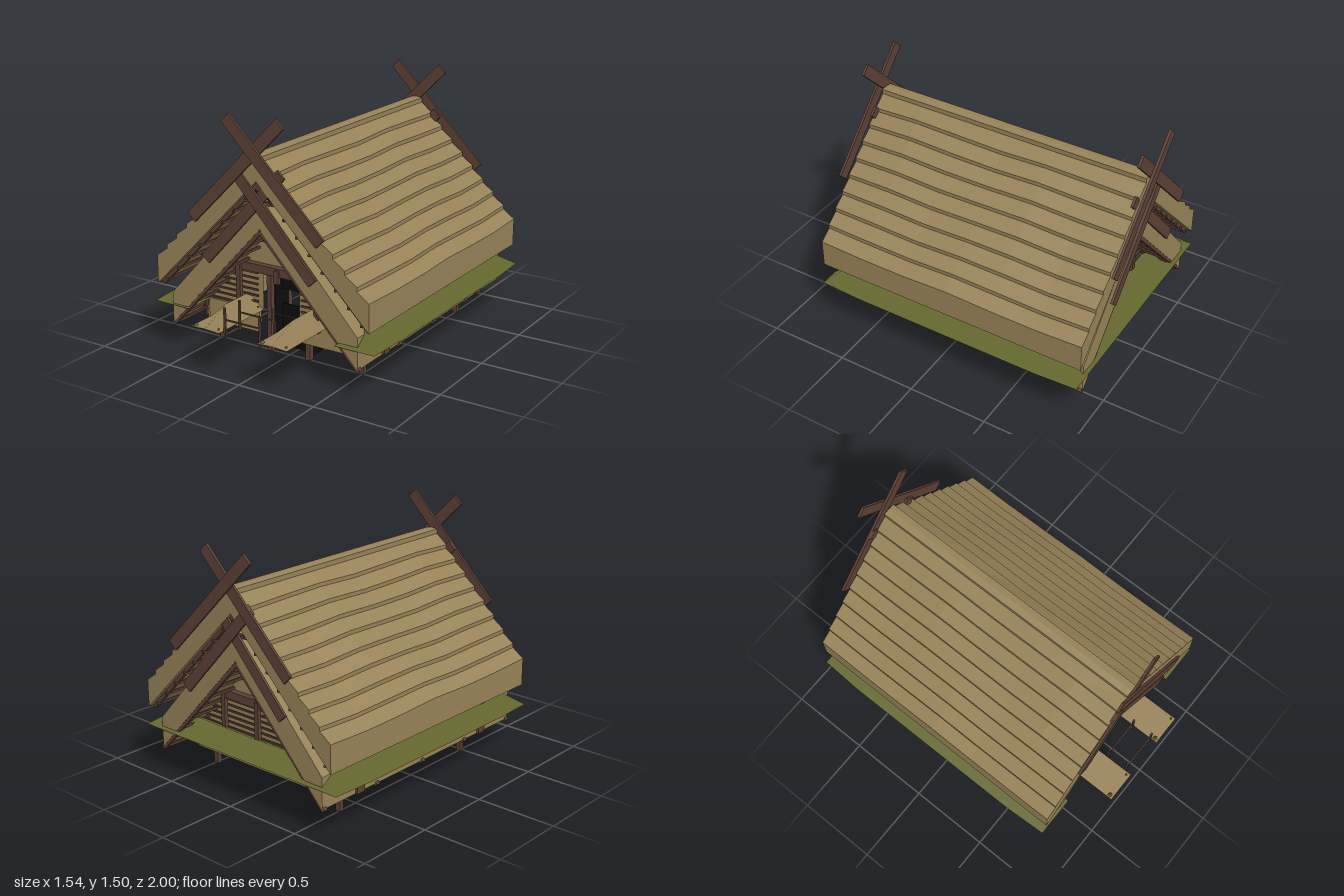
import * as THREE from 'three';

const mat = (name, color, side = THREE.FrontSide) => {
  const m = new THREE.MeshStandardMaterial({ color, side });
  m.name = name;
  return m;
};

export function createModel() {
  const thatch = mat('thatch', 0x978257, THREE.DoubleSide);
  const wood = mat('dark wood', 0x5c4035);
  const grass = mat('grass', 0x65682f, THREE.DoubleSide);
  const black = mat('doorway black', 0x0c0c0c, THREE.DoubleSide);
  const root = new THREE.Group();
  root.name = 'thatchedHouse';

  const add = (name, geo, m) => {
    const mesh = new THREE.Mesh(geo, m);
    mesh.name = name;
    root.add(mesh);
    return mesh;
  };
  const box = (name, m, x, y, z, w, h, d) => {
    const b = add(name, new THREE.BoxGeometry(w, h, d), m);
    b.position.set(x, y, z);
    return b;
  };
  // Square timber between two points: w across, h in the upright direction
  const beam = (name, a, b, w, h) => {
    const p = new THREE.Vector3(...a), q = new THREE.Vector3(...b);
    const mesh = add(name, new THREE.BoxGeometry(w, h, p.distanceTo(q)), wood);
    mesh.position.copy(p).lerp(q, 0.5);
    mesh.lookAt(q);
    return mesh;
  };
  // Outline for the +x half, mirrored
  const mirrored = half => {
    const left = half.filter(p => p[0] > 0).map(([x, y]) => [-x, y]).reverse();
    return new THREE.Shape([...half, ...left].map(p => new THREE.Vector2(...p)));
  };
  const roof = (name, half, z0, z1, steps, rule) => {
    const geo = new THREE.ExtrudeGeometry(mirrored(half), { depth: z1 - z0, steps, bevelEnabled: false });
    geo.translate(0, 0, z0);
    const p = geo.attributes.position;
    if (rule) for (let i = 0; i < p.count; i++) p.setY(i, p.getY(i) + rule(p.getX(i), p.getY(i), p.getZ(i)));
    geo.computeVertexNormals();
    return add(name, geo, thatch);
  };

  // Upper roof: stepped thatch courses with gently wavy edges
  const courses = 9, dx = (0.725 - 0.04) / courses, dy = (1.275 - 0.57) / courses;
  const upper = [[0, 1.13], [0.725, 0.4]];
  for (let i = 0; i < courses; i++) {
    const x = 0.725 - i * dx, y = 0.565 + i * dy;
    upper.push([x, y], [x - dx, y + dy - 0.024]);
  }
  upper.push([0.04, 1.275], [0, 1.28]);
  roof('upperRoof', upper, -0.955, 0.805, 6, (x, y, z) =>
    y > 1.2 - Math.abs(x) && y < 1.24 ? 0.007 * Math.sin(z * 7 + y * 4) : 0);

  // Lower roof, reaching down to the ground wall
  roof('lowerRoof', [[0, 0.85], [0.64, 0.16], [0.64, 0.35], [0, 1.05]], -0.93, 0.78, 1);

  for (const s of [-1, 1]) {
    // Rafters and purlins under both roofs
    for (const z of [0.765, 0.33, -0.07, -0.48, -0.915]) {
      beam('upperRafter', [0, 1.12, z], [s * 0.71, 0.4, z], 0.025, 0.028);
      beam('lowerRafter', [0, 0.835, z], [s * 0.645, 0.15, z], 0.025, 0.025);
    }
    for (let i = 1; i <= 8; i++) {
      const t = i / 8.5;
      box('lowerPurlin', wood, s * 0.64 * t, 0.825 - 0.69 * t, -0.075, 0.014, 0.014, 1.69);
      box('upperPurlin', wood, s * 0.71 * t, 1.1 - 0.715 * t, -0.075, 0.014, 0.014, 1.73);
    }
    // Side wall, wall plate, posts and projecting beam ends
    box('sideWall', thatch, s * 0.53, 0.21, -0.08, 0.02, 0.14, 1.32);
    box('wallPlate', wood, s * 0.5, 0.3, -0.08, 0.04, 0.04, 1.3);
    for (const z of [0.49, -0.63]) {
      box('cornerPost', wood, s * 0.495, 0.26, z, 0.032, 0.52, 0.032);
      box('beamEnd', wood, s * 0.6, 0.215, z, 0.11, 0.11, 0.06);
      box('beamEnd', wood, s * 0.6, 0.4, z, 0.11, 0.1, 0.06);
      box('sillBlock', wood, s * 0.56, 0.16, z, 0.06, 0.04, 0.1);
    }
    box('innerPost', wood, s * 0.13, 0.42, -0.465, 0.04, 0.84, 0.04);
    // Front wall halves and doorposts
    box('frontWall', thatch, s * 0.335, 0.21, 0.58, 0.37, 0.14, 0.02);
    for (const z of [0.495, 0.32]) box('doorPost', wood, s * 0.135, 0.255, z, 0.03, 0.51, 0.04);
    box('doorSide', black, s * 0.12, 0.25, 0.41, 0.008, 0.5, 0.14);
    // Rail beside the entrance path
    box('railPost', wood, s * 0.12, 0.33, 0.955, 0.012, 0.18, 0.012);
    box('railPost', wood, s * 0.12, 0.33, 0.82, 0.012, 0.18, 0.012);
  }
  for (const z of [0.955, 0.82]) box('entranceRail', wood, 0, 0.35, z, 0.24, 0.008, 0.008);
  box('backWall', thatch, 0, 0.21, -0.74, 1.06, 0.14, 0.02);
  // Door boards with an opening between them
  box('doorBoard', black, 0, 0.135, 0.4, 0.24, 0.27, 0.008);
  box('doorBoard', black, 0, 0.43, 0.4, 0.24, 0.14, 0.008);
  box('doorLintel', wood, 0, 0.51, 0.51, 0.36, 0.03, 0.05);
  box('ridgeBeam', wood, 0, 1.085, -0.075, 0.04, 0.04, 1.7);
  box('lowerRidgeBeam', wood, 0, 0.825, -0.075, 0.035, 0.035, 1.68);

  // Tie beams, long beams and loft poles
  for (const z of [0.49, -0.07, -0.63]) box('tieBeam', wood, 0, 0.5, z, 0.64, 0.04, 0.04);
  for (const x of [-0.27, 0, 0.27]) box('longBeam', wood, x, 0.535, -0.07, 0.03, 0.03, 1.3);
  for (let i = 0; i < 9; i++) box('loftPole', wood, 0, 0.56, -0.55 + i * 0.1, 0.54, 0.02, 0.035);

  // Gable ends: thatch wall, lattice, crossbars and vent
  for (const [z, out, door] of [[0.6, 1, true], [-0.75, -1, false]]) {
    const plate = (name, m, half, zz, hole) => {
      const shape = mirrored(half);
      if (hole) shape.holes.push(new THREE.Path(hole.map(p => new THREE.Vector2(...p))));
      add(name, new THREE.ShapeGeometry(shape), m).position.z = zz;
    };
    plate('gableWall', thatch, [[0, 0.275], [0.52, 0.275], [0.62, 0.46], [0, 1.08]], z - out * 0.02,
      door && [[-0.125, 0.28], [-0.125, 0.5], [0.125, 0.5], [0.125, 0.28]]);
    box('gableBeam', wood, 0, 0.545, z, 0.56, 0.05, 0.04);
    box('outerGableBeam', wood, 0, 0.55, z, 1.08, 0.04, 0.03);
    for (let i = 0; i < 7; i++) {
      const y = 0.3 + i * 0.035, w = 0.53;
      if (!door) box('slat', wood, 0, y, z, 2 * w, 0.01, 0.01);
      else for (const s of [-1, 1]) box('slat', wood, s * (w + 0.15) / 2, y, z, w - 0.15, 0.01, 0.01);
    }
    for (const x of [-0.525, -0.27, 0, 0.27, 0.525]) {
      const low = door && x === 0 ? 0.48 : 0.24;
      box('latticePost', wood, x, (low + 0.56) / 2, z + out * 0.02, 0.03, 0.56 - low, 0.025);
    }
    box('gableCrossbar', wood, 0, 0.735, z + out * 0.02, 0.22, 0.03, 0.025);
    const end = door ? 0.77 : -0.92;
    plate('smokeVent', black, [[0, 1.0], [0.12, 1.0], [0, 1.12]], end - out * 0.03);
    box('ventBar', wood, 0, 1.005, end, 0.2, 0.02, 0.02);
  }

  // Crossed gable boards: tall outer pair and shorter inner pair
  for (const [z, out] of [[0.805, 1], [-0.955, -1]]) {
    for (const s of [-1, 1]) {
      const outer = z + out * (s > 0 ? 0.034 : 0.016);
      beam('crossedBoard', [-s * 0.175, 1.475, outer], [s * 0.44, 0.86, outer], 0.016, 0.07);
      const inner = z + out * (s > 0 ? 0.004 : -0.012);
      beam('innerCrossedBoard', [-s * 0.16, 1.19, inner], [s * 0.37, 0.615, inner], 0.016, 0.065);
    }
  }

  // Soft ground sheet through rows of equal length, lit as level ground
  const sheet = (name, rows, m) => {
    const n = rows[0].length, idx = [];
    for (let i = 0; i + 1 < rows.length; i++) for (let j = 0; j + 1 < n; j++) {
      const a = i * n + j;
      idx.push(a, a + 1, a + n, a + 1, a + n + 1, a + n);
    }
    const g = new THREE.BufferGeometry();
    g.setAttribute('position', new THREE.Float32BufferAttribute(rows.flat(2), 3));
    g.setAttribute('normal', new THREE.Float32BufferAttribute(rows.flat().flatMap(() => [0, 1, 0]), 3));
    g.setIndex(idx);
    return add(name, g, m);
  };

  // Grass bank around the house, open at the front: outer, crest and inner lines
  const bank = [
    [[0.5, 0.8], [0.5, 0.68], [0.5, 0.6], 0.285],
    [[0.757, 0.8], [0.63, 0.68], [0.53, 0.58], 0.375],
    [[0.77, 0.53], [0.63, 0.53], [0.53, 0.53], 0.365],
    [[0.77, 0.25], [0.63, 0.25], [0.53, 0.25], 0.385],
    [[0.77, -0.15], [0.63, -0.15], [0.53, -0.15], 0.36],
    [[0.77, -0.69], [0.63, -0.69], [0.53, -0.69], 0.375],
    [[0.757, -0.95], [0.63, -0.82], [0.53, -0.66], 0.37],
    [[0, -0.95], [0, -0.82], [0, -0.66], 0.36],
  ];
  for (const s of [1, -1]) {
    const rows = bank.map(([o, c, i, y]) => [[s * o[0], 0.28, o[1]], [s * c[0], y, c[1]], [s * i[0], 0.28, i[1]]]);
    sheet('grassBank', s > 0 ? rows.reverse() : rows, grass);
    // Earth mound beside the entrance, with grass tufts at its front corners
    const mound = [[0.58, 0.37], [0.8, 0.37], [1.0, 0.285]].map(([z, y]) =>
      [[s * 0.13, 0.28, z], [s * 0.23, y, z], [s * 0.33, 0.28, z]]);
    sheet('entranceMound', s > 0 ? mound.reverse() : mound, thatch);
    for (const x of [0.15, 0.31]) {
      add('grassTuft', new THREE.ConeGeometry(0.016, 0.02, 5), grass).position.set(s * x, 0.29, 0.975);
    }
  }
  return root;
}
